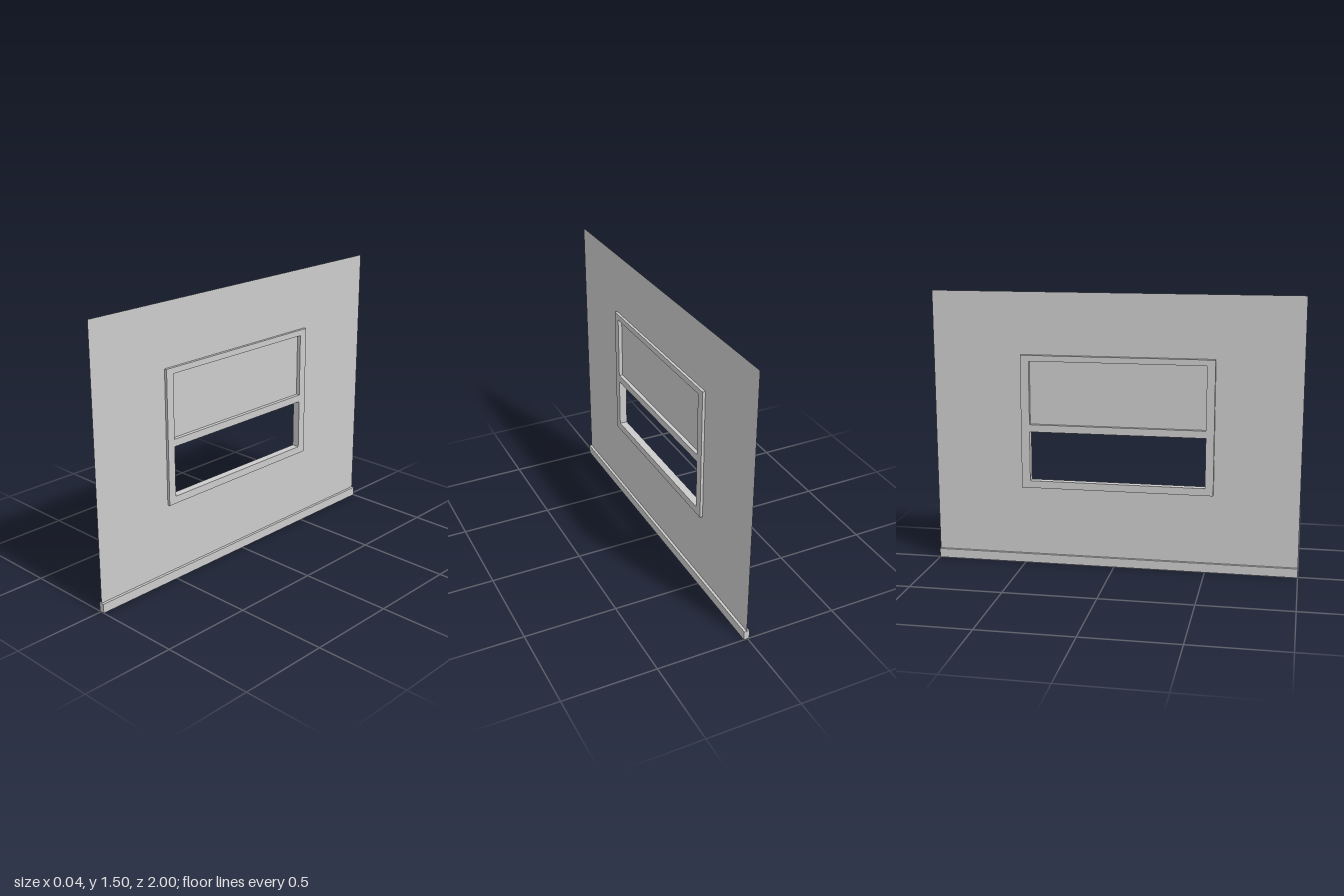
import * as THREE from 'three';

const material = new THREE.MeshStandardMaterial({ color: 0xcccccc, side: THREE.DoubleSide });

// Adds a closed rectangle to a shape or hole path (u runs along z, v along y)
function rect(path, [u0, u1, v0, v1]) {
  path.moveTo(u0, v0);
  path.lineTo(u1, v0);
  path.lineTo(u1, v1);
  path.lineTo(u0, v1);
  path.closePath();
  return path;
}

// Panel standing in the yz plane, with rectangular holes; flat when depth is 0
function panel(name, outline, holes, xFront, depth) {
  const shape = rect(new THREE.Shape(), outline);
  for (const hole of holes) shape.holes.push(rect(new THREE.Path(), hole));
  const geometry = depth > 0
    ? new THREE.ExtrudeGeometry(shape, { depth, bevelEnabled: false })
    : new THREE.ShapeGeometry(shape);
  geometry.rotateY(-Math.PI / 2);
  geometry.translate(xFront, 0, 0);
  const mesh = new THREE.Mesh(geometry, material);
  mesh.name = name;
  return mesh;
}

export function createModel() {
  const group = new THREE.Group();
  group.name = 'wallWithWindow';

  const frame = [-0.51, 0.54, 0.434, 1.167];
  const upperOpening = [-0.463, 0.496, 0.788, 1.135];
  const lowerOpening = [-0.463, 0.496, 0.474, 0.748];

  // Thin wall sheet, cut out where the window frame sits
  group.add(panel('wall', [-1, 1, 0, 1.505], [[-0.5, 0.53, 0.444, 1.157]], 0.006, 0));

  // Window frame with a crossbar, open below
  group.add(panel('windowFrame', frame, [upperOpening, lowerOpening], 0.021, 0.042));

  // Closed upper pane, set at mid-depth of the frame
  group.add(panel('upperPane', upperOpening, [], 0, 0));

  // Skirting board on both faces of the wall
  const baseboard = new THREE.Mesh(new THREE.BoxGeometry(0.03, 0.05, 2), material);
  baseboard.name = 'baseboard';
  baseboard.position.set(0.006, 0.025, 0);
  group.add(baseboard);

  return group;
}
